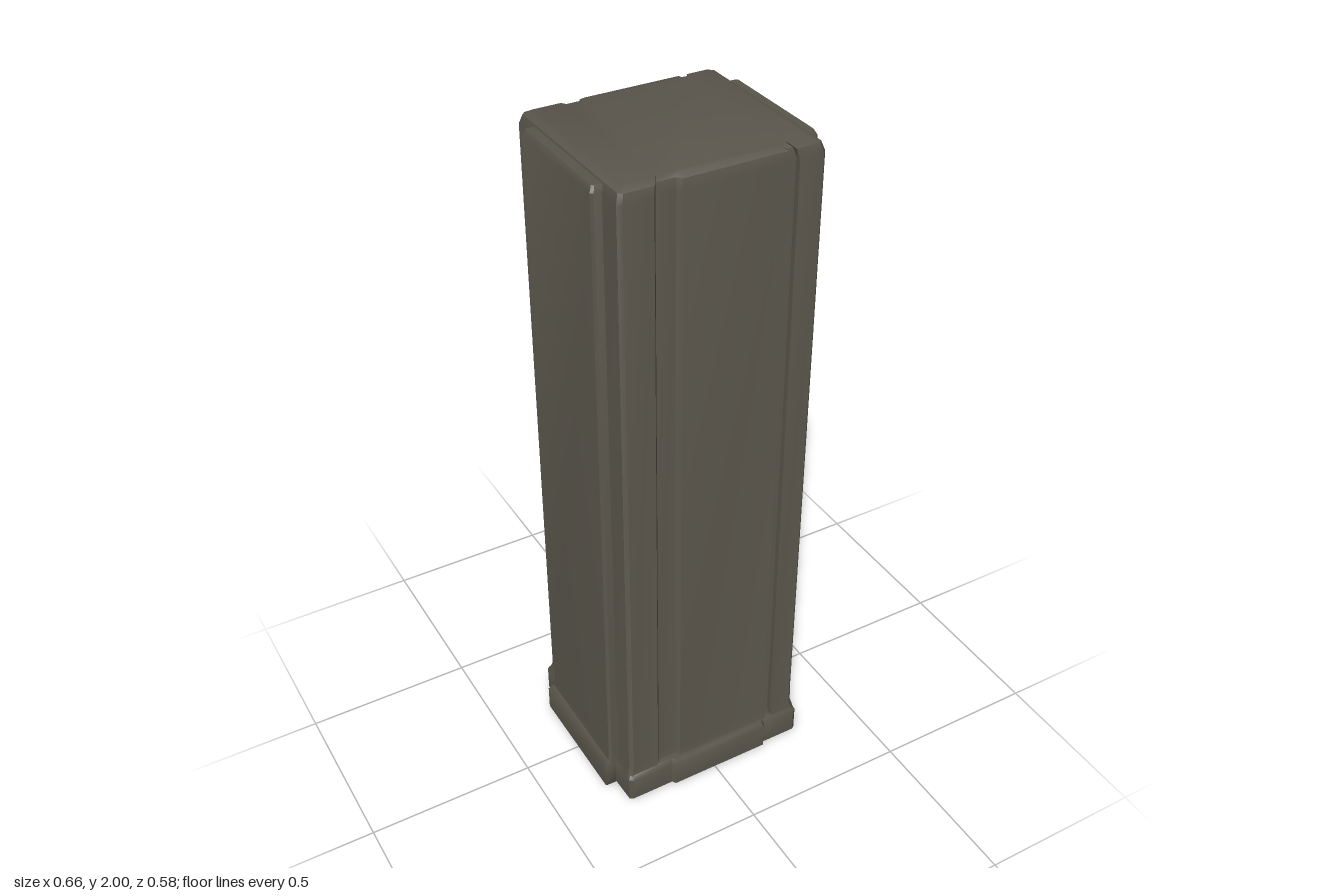
import * as THREE from 'three';
import { toCreasedNormals } from 'three/addons/utils/BufferGeometryUtils.js';

// Front edge points (x, depth) run left to right; the back edge is their mirror.
function closeOutline(front) {
  return [
    ...front.map(([x, d]) => [x, -d]),
    ...front.slice().reverse().map(([x, d]) => [x, d]),
  ];
}

// Stack an outline through levels [height, inset] and cap both ends.
function loft(outline, levels) {
  const n = outline.length;
  const halfX = Math.max(...outline.map((p) => Math.abs(p[0])));
  const halfZ = Math.max(...outline.map((p) => Math.abs(p[1])));
  const pos = [];
  const index = [];
  for (const [y, inset] of levels) {
    for (const [x, s] of outline) {
      pos.push(x * (1 - inset / halfX), y, -s * (1 - inset / halfZ));
    }
  }
  for (let i = 0; i < levels.length - 1; i++) {
    for (let j = 0; j < n; j++) {
      const a = i * n + j;
      const b = i * n + (j + 1) % n;
      index.push(a, b, b + n, a, b + n, a + n);
    }
  }
  const top = (levels.length - 1) * n;
  const cap = THREE.ShapeUtils.triangulateShape(
    outline.map((p) => new THREE.Vector2(p[0], p[1])), []);
  for (const [a, b, c] of cap) {
    index.push(top + a, top + b, top + c, a, c, b);
  }
  const geo = new THREE.BufferGeometry();
  geo.setAttribute('position', new THREE.Float32BufferAttribute(pos, 3));
  geo.setIndex(index);
  return toCreasedNormals(geo, 0.6);
}

export function createModel() {
  const model = new THREE.Group();
  model.name = 'pillar';
  const stone = new THREE.MeshStandardMaterial({ color: 0x59554b });
  stone.name = 'dark stone';

  const add = (name, geo, x = 0) => {
    const mesh = new THREE.Mesh(geo, stone);
    mesh.name = name;
    mesh.position.x = x;
    model.add(mesh);
  };

  // Plinth: cross-shaped foot with a raised band on the front and back
  add('plinth', loft(closeOutline([
    [-0.33, 0.19], [-0.295, 0.19], [-0.293, 0.27], [-0.283, 0.277],
    [-0.15, 0.277], [-0.143, 0.288], [0.168, 0.288], [0.176, 0.277],
    [0.283, 0.277], [0.293, 0.27], [0.295, 0.19], [0.33, 0.19],
  ]), [[0, 0.012], [0.012, 0], [0.09, 0], [0.105, 0.01]]));

  // Shaft: rounded block with a wide and a narrow groove on front and back
  add('shaft', loft(closeOutline([
    [-0.283, 0.252], [-0.273, 0.262], [-0.19, 0.262], [-0.18, 0.248],
    [-0.125, 0.248], [-0.115, 0.262], [0.18, 0.262], [0.183, 0.25],
    [0.202, 0.25], [0.205, 0.262], [0.273, 0.262], [0.283, 0.252],
  ]), [[0.09, -0.01], [0.13, 0], [1.965, 0], [1.99, 0.008], [2, 0.025]]));

  // Shallow raised panels on the two sides, a little lower than the shaft top
  const panel = closeOutline([
    [-0.05, 0.184], [0.043, 0.184], [0.05, 0.178],
  ]);
  for (const side of [-1, 1]) {
    const outline = side > 0 ? panel : panel.map(([x, s]) => [-x, s]).reverse();
    add(side > 0 ? 'leftPanel' : 'rightPanel',
      loft(outline, [[0.09, -0.006], [0.13, 0], [1.97, 0], [1.985, 0.008]]),
      side * 0.261);
  }
  return model;
}
